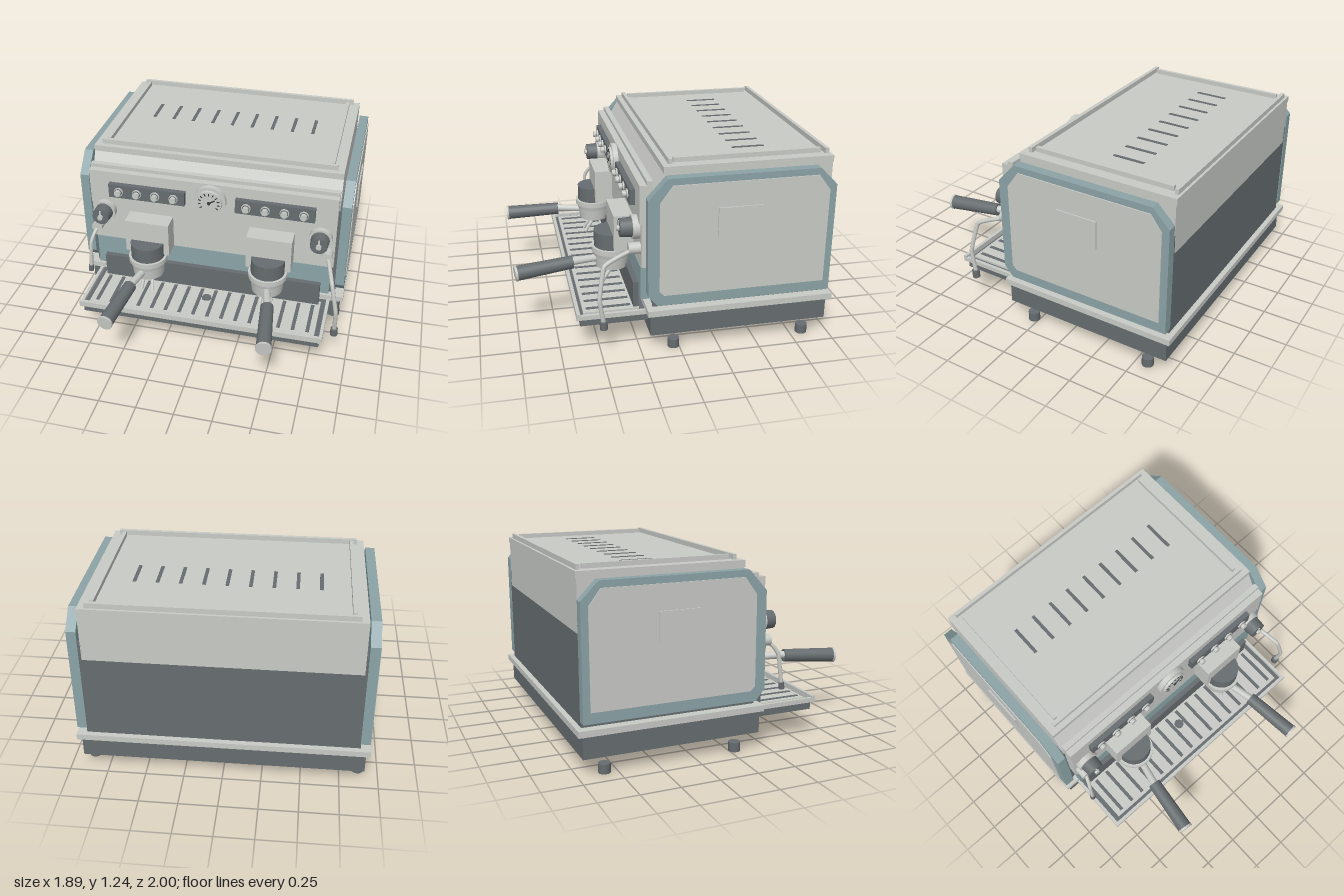
import * as THREE from 'three';

const mat = (name, color, side = THREE.FrontSide) => {
  const m = new THREE.MeshStandardMaterial({ color, side });
  m.name = name;
  return m;
};

export function createModel() {
  const root = new THREE.Group();
  root.name = 'espressoMachine';
  const steel = mat('brushed steel', 0xc8cac6);
  const dark = mat('dark grey', 0x666c6f);
  const teal = mat('muted teal', 0x8ba3a6);
  const black = mat('dial black', 0x34393b);

  const add = (name, geo, m) => {
    const mesh = new THREE.Mesh(geo, m);
    mesh.name = name;
    root.add(mesh);
    return mesh;
  };
  // Box given by its limits on each axis
  const box = (name, m, x0, x1, y0, y1, z0, z1) => {
    const b = add(name, new THREE.BoxGeometry(x1 - x0, y1 - y0, z1 - z0), m);
    b.position.set((x0 + x1) / 2, (y0 + y1) / 2, (z0 + z1) / 2);
    return b;
  };
  // Cylinder or cone between two points
  const rod = (name, m, a, b, r0, r1 = r0, n = 24) => {
    const p = new THREE.Vector3(...a), q = new THREE.Vector3(...b), d = q.clone().sub(p);
    const c = add(name, new THREE.CylinderGeometry(r1, r0, d.length(), n), m);
    c.position.copy(p).add(q).multiplyScalar(0.5);
    c.quaternion.setFromUnitVectors(new THREE.Vector3(0, 1, 0), d.normalize());
    return c;
  };
  // Outline in [z, y], extruded from x0 to x1
  const slab = (name, m, pts, x0, x1) => {
    const s = new THREE.Shape(pts.map(([z, y]) => new THREE.Vector2(-z, y)));
    const g = new THREE.ExtrudeGeometry(s, { depth: x1 - x0, bevelEnabled: false });
    g.rotateY(Math.PI / 2);
    add(name, g, m).position.x = x0;
  };
  // Bent pipe with sharp-ish corners
  const pipe = (name, pts, r) => {
    const curve = new THREE.CatmullRomCurve3(pts.map(p => new THREE.Vector3(...p)), false, 'catmullrom', 0.2);
    add(name, new THREE.TubeGeometry(curve, 32, r, 10), steel);
  };

  // Feet, base and surrounding ledge
  for (const x of [-0.87, 0.87]) for (const z of [0.035, -0.83])
    rod('foot', dark, [x, 0, z], [x, 0.06, z], 0.038, 0.038, 16);
  box('base', dark, -0.905, 0.905, 0.11, 0.255, -0.97, 0.19);
  box('baseLedge', steel, -0.93, 0.93, 0.255, 0.295, -1, 0.21);

  // Body: dark lower half, steel upper half with sloped front
  box('lowerBody', dark, -0.85, 0.85, 0.295, 0.85, -0.965, 0.165);
  slab('upperBody', steel, [[0.165, 0.85], [0.165, 1.04], [0.09, 1.17], [-0.965, 1.17], [-0.965, 0.85]], -0.85, 0.85);

  // Side panels
  const outer = [[0.21, 0.4], [0.21, 1.03], [0.09, 1.163], [-0.86, 1.163], [-0.97, 1.05], [-0.97, 0.33], [0.15, 0.33]];
  const inner = [[0.14, 0.43], [0.14, 1.01], [0.06, 1.12], [-0.85, 1.12], [-0.925, 1.02], [-0.925, 0.4], [0.11, 0.4]];
  for (const s of [-1, 1]) {
    const side = (name, m, pts, a, b) => slab(name, m, pts, Math.min(s * a, s * b), Math.max(s * a, s * b));
    side('sideSpacer', dark, [[0.17, 0.295], [0.17, 0.97], [-0.965, 0.97], [-0.965, 0.295]], 0.845, 0.868);
    side('sideFrame', teal, outer, 0.865, 0.927);
    side('sidePlate', steel, inner, 0.927, 0.934);
    side('sideHatch', steel, [[-0.22, 0.775], [-0.22, 0.96], [-0.5, 0.96], [-0.5, 0.775]], 0.934, 0.943);
  }

  // Lid with cup rails and vents
  box('lid', steel, -0.85, 0.85, 1.168, 1.21, -0.97, 0.1);
  for (const z of [0.05, -0.942]) box('lidRail', steel, -0.805, 0.805, 1.21, 1.243, z - 0.012, z + 0.012);
  for (const x of [-0.767, 0.767]) box('lidSideRail', steel, x - 0.012, x + 0.012, 1.21, 1.24, -0.91, 0.025);
  for (let i = -4; i <= 4; i++)
    box('vent', dark, i * 0.1437 - 0.011, i * 0.1437 + 0.011, 1.208, 1.213, -0.61, -0.4);

  // Front panels
  box('frontBacking', steel, -0.845, 0.845, 0.56, 1.125, 0.163, 0.2);
  box('upperFront', steel, -0.845, 0.845, 0.85, 1.1, 0.2, 0.245);
  box('lowerFront', steel, -0.845, 0.845, 0.56, 0.85, 0.2, 0.235);
  box('frontBand', teal, -0.83, 0.83, 0.335, 0.56, 0.165, 0.24);
  box('splashPlate', dark, -0.77, 0.77, 0.25, 0.425, 0.24, 0.275);

  // Drip tray with slotted grate
  box('dripTray', dark, -0.82, 0.82, 0.18, 0.24, 0.19, 0.622);
  for (const x of [-0.83, 0.83]) box('trayRim', steel, x - 0.011, x + 0.011, 0.232, 0.262, 0.2, 0.645);
  box('trayFrontRim', steel, -0.84, 0.84, 0.235, 0.275, 0.622, 0.645);
  box('grate', steel, -0.785, 0.785, 0.24, 0.254, 0.24, 0.597);
  for (let i = 0; i < 16; i++) {
    const x = -0.735 + i * 0.098;
    box('grateSlot', dark, x - 0.012, x + 0.012, 0.252, 0.257, 0.29, 0.575);
  }
  rod('drain', dark, [0, 0.25, 0.38], [0, 0.26, 0.38], 0.035, 0.035, 8);

  // Pressure gauge
  const gy = 0.985;
  rod('gaugeBezel', steel, [0, gy, 0.24], [0, gy, 0.28], 0.11, 0.11, 40);
  rod('gaugeFace', steel, [0, gy, 0.28], [0, gy, 0.295], 0.088, 0.085, 40);
  for (let i = 0; i < 11; i++) {
    const a = -0.6 + (i / 10) * (Math.PI + 1.2);
    const t = add('gaugeTick', new THREE.BoxGeometry(0.018, 0.006, 0.004), black);
    t.position.set(Math.cos(a) * 0.065, gy + Math.sin(a) * 0.065, 0.296);
    t.rotation.z = a;
  }
  const needle = add('gaugeNeedle', new THREE.BoxGeometry(0.055, 0.008, 0.004), black);
  needle.position.set(0.018, gy + 0.012, 0.298);
  needle.rotation.z = 0.55;
  rod('gaugeHub', black, [0, gy, 0.294], [0, gy, 0.302], 0.011);

  for (const s of [-1, 1]) {
    // Control strip with push buttons
    const c = s * 0.437;
    box('controlStrip', dark, c - 0.265, c + 0.265, 0.925, 1.025, 0.243, 0.28);
    for (const x of [0.247, 0.375, 0.502, 0.63]) {
      rod('buttonRing', steel, [s * x, 0.975, 0.28], [s * x, 0.975, 0.29], 0.031);
      rod('buttonGroove', dark, [s * x, 0.975, 0.29], [s * x, 0.975, 0.292], 0.026);
      rod('button', steel, [s * x, 0.975, 0.29], [s * x, 0.975, 0.315], 0.021);
    }

    // Valve knob with pointer
    const kx = s * 0.747;
    rod('knobRing', steel, [kx, 0.8, 0.235], [kx, 0.8, 0.28], 0.077);
    rod('knob', dark, [kx, 0.8, 0.28], [kx, 0.8, 0.355], 0.063, 0.058, 16);
    rod('knobCap', steel, [kx, 0.8, 0.355], [kx, 0.8, 0.372], 0.018);
    box('knobPointer', steel, kx - 0.006, kx + 0.006, 0.8, 0.85, 0.352, 0.36);

    // Brew group
    const gx = s * 0.42, gz = 0.355;
    box('groupHousing', steel, gx - 0.153, gx + 0.153, 0.56, 0.8, 0.225, 0.36);
    rod('groupCap', dark, [gx, 0.53, gz], [gx, 0.652, gz], 0.115, 0.115, 28);
    rod('groupCollar', steel, [gx, 0.51, gz], [gx, 0.545, gz], 0.132, 0.132, 28);
    rod('groupLowerCollar', steel, [gx, 0.48, gz], [gx, 0.51, gz], 0.118, 0.125, 28);
    rod('filterBasket', steel, [gx, 0.4, gz], [gx, 0.48, gz], 0.105, 0.115, 28);

    // Portafilter handle
    rod('handleNeck', steel, [s * 0.43, 0.46, 0.44], [s * 0.47, 0.465, 0.63], 0.024, 0.026);
    rod('handle', dark, [s * 0.468, 0.46, 0.62], [s * 0.514, 0.437, 0.982], 0.043, 0.049, 20);
    rod('handleCap', steel, [s * 0.514, 0.437, 0.982], [s * 0.516, 0.436, 0.997], 0.052, 0.052, 20);

    // Twin spout
    rod('spoutStem', steel, [gx, 0.41, 0.36], [gx, 0.37, 0.375], 0.022);
    for (const d of [-1, 1])
      pipe('spout', [[gx, 0.39, 0.365], [gx + d * 0.03, 0.355, 0.385], [gx + d * 0.04, 0.29, 0.43]], 0.013);
    rod('wandMount', steel, [s * 0.8, 0.68, 0.23], [s * 0.8, 0.68, 0.31], 0.037);
  }

  // Steam wand on the left, shorter water wand on the right
  pipe('steamWand', [[0.81, 0.67, 0.29], [0.83, 0.65, 0.36], [0.862, 0.6, 0.47], [0.906, 0.4, 0.508], [0.906, 0.24, 0.487]], 0.014);
  rod('steamTip', dark, [0.906, 0.25, 0.488], [0.906, 0.195, 0.485], 0.025, 0.025, 14);
  pipe('waterWand', [[-0.8, 0.67, 0.29], [-0.815, 0.64, 0.33], [-0.83, 0.58, 0.365], [-0.84, 0.38, 0.385]], 0.013);
  rod('waterTip', dark, [-0.84, 0.4, 0.384], [-0.841, 0.355, 0.388], 0.018, 0.018, 14);

  return root;
}
